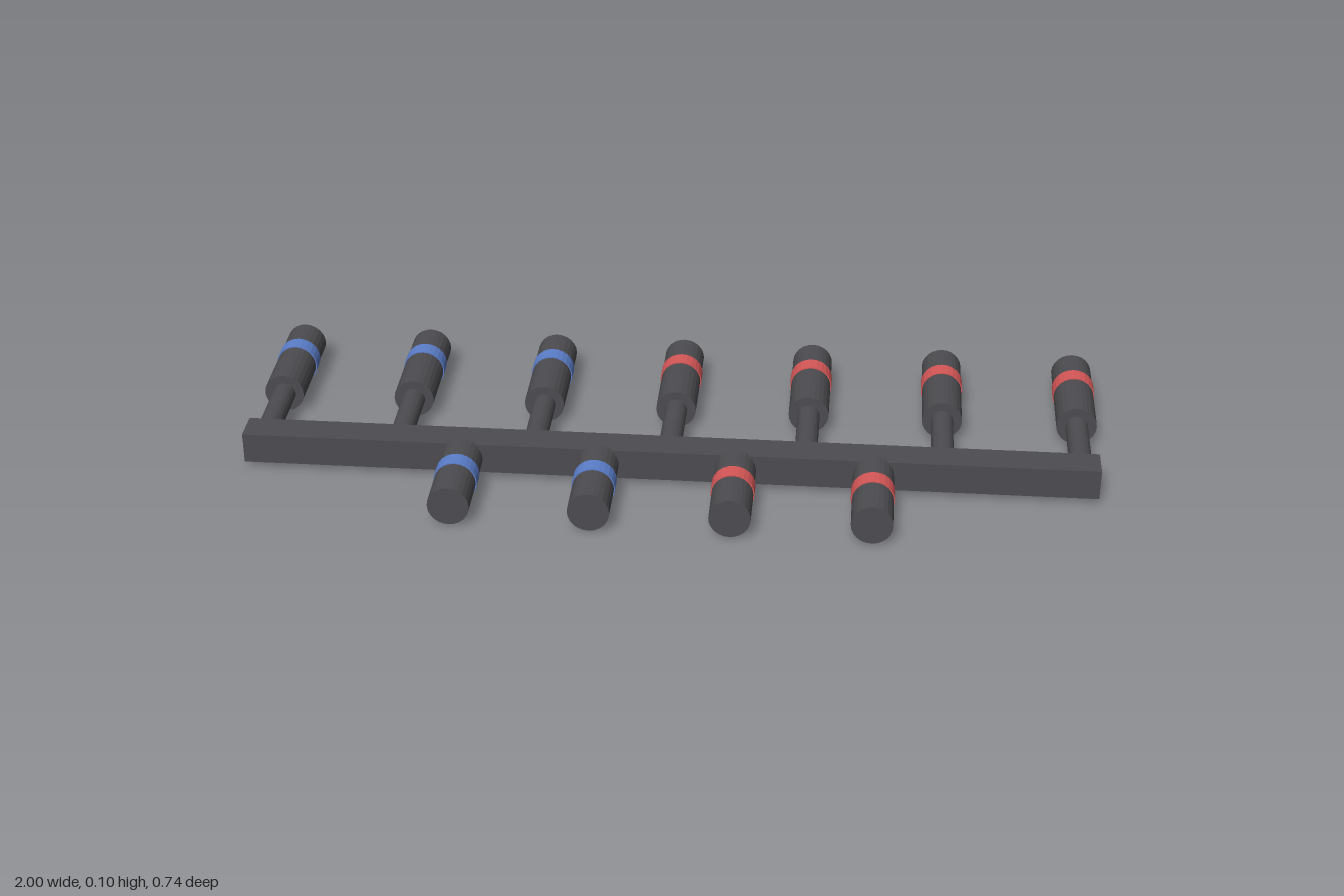
import * as THREE from 'three';

const AXIS_Y = 0.05;

export function createModel() {
  const model = new THREE.Group();
  model.name = 'connectorBar';

  const material = (name, color) => {
    const m = new THREE.MeshStandardMaterial({ color, flatShading: true });
    m.name = name;
    return m;
  };
  const grey = material('darkGrey', 0x4d4c50);
  const red = material('red', 0xd85858);
  const blue = material('blue', 0x5c7fcc);

  // Cylinder lying along z between two depths
  const rod = (name, radius, z0, z1, mat) => {
    const geometry = new THREE.CylinderGeometry(radius, radius, Math.abs(z1 - z0), 24);
    geometry.rotateX(Math.PI / 2);
    const mesh = new THREE.Mesh(geometry, mat);
    mesh.name = name;
    mesh.position.z = (z0 + z1) / 2;
    return mesh;
  };

  // Long bar carrying all plugs
  const bar = new THREE.Mesh(new THREE.BoxGeometry(1.98, 0.073, 0.077), grey);
  bar.name = 'bar';
  bar.position.set(0, AXIS_Y, 0.119);
  model.add(bar);

  const spacing = 0.95 / 3;

  // Seven rear plugs on thin stems
  for (let i = -3; i <= 3; i++) {
    const plug = new THREE.Group();
    plug.name = 'rearPlug';
    plug.position.set(i * spacing, AXIS_Y, 0);
    plug.add(
      rod('stem', 0.0265, 0.1, -0.11, grey),
      rod('plugBody', 0.0475, -0.105, -0.368, grey),
      rod('colourBand', 0.05, -0.248, -0.289, i < 0 ? blue : red)
    );
    model.add(plug);
  }

  // Four front plugs set directly on the bar, between the rear ones
  for (let i = -1.5; i <= 1.5; i++) {
    const plug = new THREE.Group();
    plug.name = 'frontPlug';
    plug.position.set(i * spacing, AXIS_Y, 0);
    plug.add(
      rod('plugBody', 0.0475, 0.15, 0.369, grey),
      rod('colourBand', 0.05, 0.223, 0.264, i < 0 ? blue : red)
    );
    model.add(plug);
  }

  return model;
}
